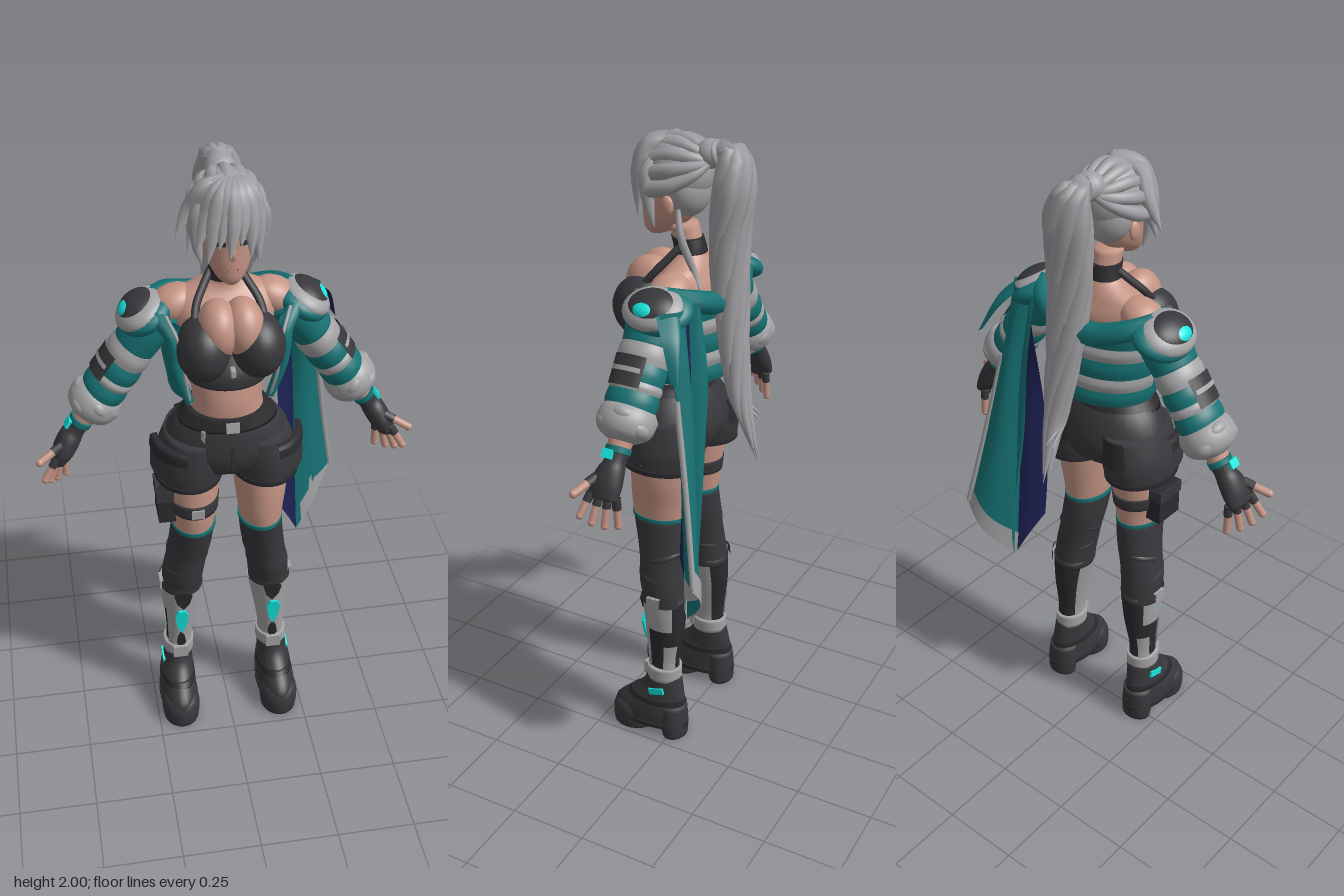
import * as THREE from 'three';

const mat = (name, color, double) => {
  const m = new THREE.MeshStandardMaterial({ color });
  m.name = name;
  if (double) m.side = THREE.DoubleSide;
  return m;
};
const skin = mat('skin', 0xc49484), hair = mat('hair', 0xa09ea2), dark = mat('charcoal', 0x38383c, true);
const black = mat('black', 0x2b2b2f, true), teal = mat('teal', 0x167274, true), navy = mat('navy', 0x1e2254, true);
const cyan = mat('cyan', 0x14e6de, true), grey = mat('grey', 0xa3a2a4, true), lips = mat('lips', 0x9c6058);

function add(parent, name, geo, material, pos, scale, rot) {
  const m = new THREE.Mesh(geo, material);
  m.name = name;
  if (pos) m.position.set(...pos);
  if (scale) m.scale.set(...scale);
  if (rot) m.rotation.set(...rot);
  parent.add(m);
  return m;
}
const ball = (p, name, material, pos, scale, rot) => add(p, name, new THREE.SphereGeometry(1, 28, 20), material, pos, scale, rot);
const box = (p, name, material, pos, size, rot) => add(p, name, new THREE.BoxGeometry(...size), material, pos, null, rot);

// Surface through rows of points
function patch(rows, closed) {
  const n = rows[0].length, index = [];
  for (let i = 0; i < rows.length - 1; i++) for (let j = 0; j < (closed ? n : n - 1); j++) {
    const k = (j + 1) % n, a = i * n + j, b = i * n + k, c = a + n, d = b + n;
    index.push(a, b, d, a, d, c);
  }
  const g = new THREE.BufferGeometry();
  g.setAttribute('position', new THREE.Float32BufferAttribute(rows.flat(2), 3));
  g.setIndex(index);
  g.computeVertexNormals();
  return g;
}

// Smooth loft through rings [x, y, z, rx, rz]; an arc leaves it open, angle 0 faces +z
function loft(rings, arc, N = 32) {
  const r = rings[0][1] > rings[rings.length - 1][1] ? [...rings].reverse() : rings;
  const fine = [];
  for (let i = 0; i < r.length - 1; i++) for (let s = 0; s < 4; s++) {
    const t = s / 4, p = [r[Math.max(i - 1, 0)], r[i], r[i + 1], r[Math.min(i + 2, r.length - 1)]];
    fine.push(r[i].map((_, k) => {
      const [a, b, c, d] = p.map(q => q[k]);
      return b + 0.5 * t * (c - a + t * (2 * a - 5 * b + 4 * c - d + t * (3 * (b - c) + d - a)));
    }));
  }
  fine.push(r[r.length - 1]);
  if (!arc) {
    const tip = q => [q[0], q[1], q[2], q[3] * 0.01, q[4] * 0.01];
    fine.unshift(tip(fine[0]));
    fine.push(tip(fine[fine.length - 1]));
  }
  const [a0, a1] = arc || [0, Math.PI * 2];
  return patch(fine.map(([x, y, z, rx, rz]) => Array.from({ length: arc ? N + 1 : N }, (_, j) => {
    const a = a0 + (a1 - a0) * j / N;
    return [x + rx * Math.sin(a), y, z + rz * Math.cos(a)];
  })), !arc);
}
const part = (p, name, material, rings, arc) => add(p, name, loft(rings, arc), material);

const curve = pts => new THREE.CatmullRomCurve3(pts.map(q => new THREE.Vector3(...q)));
// Lock of hair or strap: a tube whose radius follows a profile
function lock(p, name, material, pts, r, f = u => Math.pow(Math.sin(Math.PI * (0.2 + 0.8 * u)), 0.9)) {
  const c = curve(pts), seg = 28, rad = 8, g = new THREE.TubeGeometry(c, seg, r, rad), pos = g.attributes.position;
  const v = new THREE.Vector3();
  for (let i = 0; i <= seg; i++) for (let j = 0; j <= rad; j++) {
    const k = i * (rad + 1) + j, o = c.getPointAt(i / seg);
    v.fromBufferAttribute(pos, k).sub(o).multiplyScalar(Math.max(f(i / seg) || 0, 0.02)).add(o);
    pos.setXYZ(k, v.x, v.y, v.z);
  }
  return add(p, name, g, material);
}
const cord = (p, name, material, pts, r) => lock(p, name, material, pts, r, () => 1);

// Thin plate with pointed ends
function diamond(w, h) {
  const s = new THREE.Shape([[0, -h], [w * .7, -h * 0.3], [w, h * 0.6], [w * .5, h], [-w * .5, h], [-w, h * 0.6], [-w * .7, -h * 0.3]].map(q => new THREE.Vector2(...q)));
  return new THREE.ExtrudeGeometry(s, { depth: 0.008, bevelEnabled: false });
}

function buildLeg(g) {
  part(g, 'thigh', skin, [[.1, 1.06, .06, .085, .1], [.108, .95, .068, .083, .1], [.108, .86, .074, .073, .094], [.11, .8, .074, .066, .088]]);
  part(g, 'stocking', dark, [[.108, .81, .075, .069, .09], [.118, .72, .062, .069, .083], [.13, .65, .055, .067, .077], [.142, .58, .05, .068, .076], [.146, .5, .037, .064, .07]]);
  part(g, 'stockingTrim', teal, [[.108, .802, .075, .071, .092], [.108, .816, .075, .071, .092]]);
  for (const [y, x, tilt] of [[.67, .126, .35], [.6, .139, -.2]])
    add(g, 'stockingFold', new THREE.TorusGeometry(1, .1, 8, 32), dark, [x, y, .052], [.063, .071, .1], [Math.PI / 2 + tilt, 0, 0]);
  part(g, 'calf', black, [[.147, .53, .036, .066, .07], [.153, .42, .032, .054, .064], [.16, .3, .034, .041, .05], [.162, .2, .036, .045, .055]]);
  // Shin armour with dark inlays and a light
  part(g, 'shinGuard', grey, [[.147, .51, .036, .071, .076], [.153, .42, .034, .058, .07], [.16, .3, .036, .045, .056], [.161, .25, .036, .047, .057]], [-2.1, 1.05]);
  part(g, 'outerGuard', grey, [[.147, .54, .036, .071, .076], [.15, .47, .034, .065, .073], [.153, .42, .034, .058, .07]], [1.0, 2.3]);
  part(g, 'rearGuard', grey, [[.157, .36, .034, .052, .063], [.16, .3, .036, .045, .056], [.161, .25, .036, .047, .057]], [1.9, 2.7]);
  part(g, 'kneeStrap', dark, [[.147, .548, .038, .073, .078], [.148, .515, .036, .073, .078]], [-1.2, 2.6]);
  box(g, 'kneeBuckle', grey, [.216, .53, .045], [.012, .035, .045]);
  add(g, 'frontInlay', diamond(.03, .04), black, [.15, .485, .105], null, [.1, 0, 0]);
  add(g, 'lowerInlay', diamond(.016, .035), black, [.158, .3, .088], null, [.12, 0, Math.PI]);
  part(g, 'ankleBand', grey, [[.161, .265, .036, .051, .059], [.162, .215, .036, .051, .06]]);
  box(g, 'ankleBuckle', grey, [.161, .24, .094], [.05, .045, .012]);
  add(g, 'shinLight', diamond(.023, .055), cyan, [.156, .385, .1], null, [.11, 0, 0]);
  // Boot: rounded upper on a split sole
  part(g, 'bootUpper', dark, [[.172, .035, .085, .062, .132], [.172, .085, .085, .062, .13], [.17, .13, .064, .056, .105], [.166, .18, .04, .05, .073], [.163, .225, .036, .048, .06]]);
  part(g, 'bootToe', dark, [[.172, 0, .15, .06, .072], [.172, .05, .148, .065, .076], [.172, .085, .14, .058, .07], [.172, .105, .128, .035, .045]]);
  part(g, 'bootHeel', dark, [[.172, 0, -.008, .052, .04], [.172, .05, -.003, .055, .047], [.17, .12, .0, .05, .045]]);
  part(g, 'soleRim', black, [[.172, .038, .085, .066, .137], [.172, .054, .085, .066, .137]]);
  box(g, 'bootLight', cyan, [.214, .178, .04], [.012, .022, .055], [.3, 0, 0]);
  part(g, 'bootStrap', black, [[.17, .125, .066, .058, .108], [.169, .145, .057, .056, .097]]);
}

function buildArm(side) {
  ball(side, 'shoulder', skin, [.15, 1.572, .012], [.075, .052, .062], [0, 0, -.4]);
  const g = new THREE.Group();
  g.name = 'arm';
  g.position.set(.19, 1.56, .02);
  g.rotation.z = .595;
  side.add(g);
  part(g, 'forearm', skin, [[0, 0, 0, .05, .05], [0, -.2, 0, .045, .045], [0, -.36, 0, .04, .042], [0, -.47, 0, .028, .03]]);
  // Puffy sleeve in coloured bands
  const bands = [[-.01, .14, teal], [.13, .195, grey], [.185, .25, teal], [.24, .275, grey], [.265, .33, teal]];
  for (const [a, b, m] of bands)
    part(g, 'sleeveBand', m, [[0, -a, 0, .064, .075], [0, -(a + b) / 2, 0, .069, .081], [0, -b, 0, .064, .075]]);
  part(g, 'sleevePatch', dark, [[0, -.175, 0, .073, .085], [0, -.265, 0, .074, .085]], [.7, 2.1]);
  part(g, 'sleevePatchTrim', grey, [[0, -.21, 0, .077, .088], [0, -.224, 0, .077, .088]], [.8, 2.0]);
  part(g, 'fluffyCuff', grey, [[0, -.305, 0, .06, .066], [0, -.33, 0, .077, .084], [0, -.365, 0, .082, .088], [0, -.395, 0, .07, .075], [0, -.415, 0, .04, .042]]);
  for (let i = 0; i < 7; i++) {
    const a = i * .9;
    ball(g, 'cuffFold', grey, [.042 * Math.sin(a), -.345 - (i % 2) * .03, .046 * Math.cos(a)], [.043, .03, .045], [0, 0, .3]);
  }
  // Fingerless glove
  part(g, 'glove', dark, [[0, -.435, 0, .034, .036], [0, -.475, 0, .031, .033], [0, -.505, .005, .035, .042], [-.003, -.55, .01, .034, .05], [-.006, -.59, .01, .024, .046]]);
  part(g, 'wristBand', teal, [[0, -.432, 0, .037, .039], [0, -.452, 0, .036, .038]]);
  box(g, 'wristLight', cyan, [.035, -.46, .012], [.01, .028, .034]);
  const finger = (name, a, b, r) => {
    const mid = a.map((v, i) => v + (b[i] - v) * .4);
    cord(g, name + 'Sleeve', dark, [a, mid], r * 1.18);
    cord(g, name, skin, [a, b], r);
    ball(g, name + 'Tip', skin, b, [r, r, r]);
  };
  for (let i = 0; i < 4; i++) {
    const t = i - 1.5;
    finger('finger', [-.006 + t * .011, -.575, .01 + t * .022], [-.032 + t * .026, -.665 + Math.abs(t) * .01, .016 + t * .029], .0115);
  }
  finger('thumb', [.018, -.53, .035], [.058, -.595, .07], .0125);
  // Shoulder flap
  const f = new THREE.Group();
  f.name = 'shoulderFlap';
  f.position.set(.24, 1.56, .005);
  f.rotation.z = -.5;
  side.add(f);
  ball(f, 'flapCloth', teal, [-.005, -.018, 0], [.09, .045, .108]);
  ball(f, 'flapTrim', grey, [.004, -.002, .005], [.08, .042, .096]);
  ball(f, 'flapPad', dark, [.006, .005, .005], [.066, .043, .08]);
  ball(f, 'flapLight', cyan, [.03, .018, .01], [.034, .028, .046]);
}

function buildSide(sign) {
  const g = new THREE.Group();
  g.name = sign > 0 ? 'leftSide' : 'rightSide';
  g.scale.x = sign;
  buildLeg(g);
  buildArm(g);
  // Shorts leg with curved cargo pocket
  part(g, 'shortsLeg', dark, [[.1, 1.16, .058, .088, .125], [.113, 1.07, .057, .107, .137], [.12, 1.0, .06, .104, .13]]);
  part(g, 'shortsHem', black, [[.12, 1.014, .06, .107, .133], [.12, .998, .06, .107, .133]]);
  part(g, 'cargoPocket', dark, [[.113, 1.14, .057, .1, .13], [.115, 1.13, .057, .117, .147], [.12, 1.04, .06, .118, .147], [.12, 1.03, .06, .103, .13]], [.25, 1.5]);
  part(g, 'pocketFlap', black, [[.112, 1.15, .057, .1, .128], [.114, 1.145, .057, .119, .15], [.116, 1.11, .057, .122, .152]], [.2, 1.55]);
  part(g, 'backPocket', black, [[.1, 1.16, .057, .1, .133], [.113, 1.07, .057, .112, .142]], [2.7, 3.5]);
  // Halter top
  ball(g, 'topCup', dark, [.08, 1.485, .138], [.079, .098, .098]);
  ball(g, 'bust', skin, [.036, 1.545, .135], [.062, .088, .082]);
  cord(g, 'halterStrap', dark, [[.105, 1.53, .15], [.092, 1.6, .095], [.065, 1.645, .058], [.04, 1.68, .03]], .012);
  // Open jacket front and lapel
  part(g, 'jacketFront', teal, [[0, 1.3, .04, .165, .125], [0, 1.42, .035, .187, .145], [0, 1.56, .03, .2, .135]], [.8, 1.6]);
  lock(g, 'lapel', teal, [[.12, 1.3, .13], [.155, 1.42, .135], [.165, 1.52, .12], [.215, 1.58, .04], [.17, 1.57, -.06], [.08, 1.54, -.1], [-.02, 1.53, -.11]], .034, u => .4 + .75 * u);
  cord(g, 'lapelTrim', grey, [[.118, 1.295, .135], [.135, 1.4, .16], [.145, 1.5, .155], [.18, 1.58, .1]], .005);
  // Face
  box(g, 'eye', black, [.034, 1.828, .168], [.03, .01, .008], [0, .3, .1]);
  box(g, 'brow', hair, [.034, 1.848, .168], [.034, .006, .008], [0, .3, .15]);
  ball(g, 'ear', skin, [.08, 1.805, .055], [.012, .03, .02]);
  lock(g, 'sideLock', hair, [[.05, 1.95, .1], [.088, 1.9, .115], [.092, 1.82, .11], [.075, 1.73, .1]], .022);
  return g;
}

function buildHead(g) {
  part(g, 'head', skin, [[0, 1.695, .135, .018, .022], [0, 1.715, .12, .042, .05], [0, 1.755, .095, .063, .078], [0, 1.81, .078, .075, .094], [0, 1.87, .07, .08, .1], [0, 1.95, .065, .055, .07]]);
  lock(g, 'nose', skin, [[0, 1.83, .166], [0, 1.8, .176], [0, 1.782, .172]], .012, u => .35 + .65 * u);
  box(g, 'mouth', lips, [0, 1.747, .167], [.032, .007, .008]);
  ball(g, 'hairCap', hair, [0, 1.895, .058], [.095, .1, .108], [-.35, 0, 0]);
  ball(g, 'hairBack', hair, [0, 1.845, .025], [.083, .085, .065]);
  // Locks combed back to the tie
  for (let i = -4; i <= 4; i++) {
    const a = i * .36, s = Math.sin(a), c = Math.cos(a);
    lock(g, 'combedLock', hair, [[s * .09, 1.83 + c * .135, .11], [s * .1, 1.85 + c * .132, .04], [s * .07, 1.89 + c * .07, -.02], [s * .025, 1.93, -.05]], .026, u => 1 - .5 * u);
  }
  // Swept fringe
  const fringe = [[-.148, 1.81, .09], [-.118, 1.77, .11], [-.095, 1.8, .15], [-.07, 1.775, .178], [-.04, 1.82, .188], [-.012, 1.79, .197], [.02, 1.825, .19], [.05, 1.785, .178], [.075, 1.76, .155]];
  for (const [x, y, z] of fringe)
    lock(g, 'fringeLock', hair, [[.015, 1.972, .075], [x * .5 + .012, 1.962, .06 + z * .42], [x * .78 + .01, 1.9, z * .9], [x, y, z]], .027);
  // Ponytail of twisted locks
  ball(g, 'ponytailRoot', hair, [0, 1.95, -.045], [.045, .042, .045]);
  add(g, 'hairTie', new THREE.TorusGeometry(.032, .01, 10, 24), hair, [0, 1.952, -.07], null, [.3, 0, 0]);
  const tail = [[0, 1.95, -.06], [0, 1.965, -.11], [.01, 1.88, -.125], [.015, 1.72, -.115], [.02, 1.55, -.122], [.03, 1.38, -.14], [.035, 1.22, -.168], [.025, 1.03, -.22]];
  lock(g, 'ponytail', hair, tail, .05, u => Math.min(.6 + u * 3, 1.15) * (1 - u * u * u));
  for (let k = 0; k < 7; k++) {
    const pts = tail.map(([x, y, z], i) => {
      const a = k * Math.PI * 2 / 7 + i * .75, r = .044 * Math.min(1, i * .45) * (1 - i / 9.5);
      return [x + 1.5 * r * Math.cos(a), y + (i === 7 ? k * .025 : 0), z + r * Math.sin(a)];
    });
    lock(g, 'ponytailLock', hair, pts, .031, u => Math.min(.5 + u * 4, 1) * (1 - Math.pow(u, 4)));
  }
  lock(g, 'looseStrand', hair, [[.08, 1.8, .02], [.095, 1.72, 0], [.075, 1.62, -.03], [.09, 1.52, -.08]], .012);
}

function buildCape(g) {
  // Each panel runs between two edge curves
  const panel = (name, m, A, B, bulge) => {
    const a = curve(A), b = curve(B);
    add(g, name, patch(Array.from({ length: 21 }, (_, i) => Array.from({ length: 9 }, (_, j) => {
      const p = a.getPoint(i / 20).lerp(b.getPoint(i / 20), j / 8), w = bulge * Math.sin(Math.PI * j / 8);
      return [p.x, p.y, p.z - w];
    })), false), m);
  };
  const inner = [[.18, 1.45, -.1], [.185, 1.15, -.05], [.185, .9, -.045], [.2, .72, -.045]];
  const fold = [[.2, 1.57, -.06], [.235, 1.25, -.09], [.255, .9, -.1], [.275, .56, -.11]];
  const outer = [[.3, 1.57, -.04], [.31, 1.32, -.1], [.35, 1.05, -.15], [.4, .77, -.2]];
  panel('capeLining', navy, inner, fold, .01);
  panel('capePanel', teal, fold, outer, -.015);
  panel('capeBackPanel', teal, fold, outer, .035);
  panel('capeBack', teal, [[.17, 1.56, -.1], [.178, 1.35, -.13], [.2, 1.1, -.13], [.26, .75, -.13]], fold.map(([x, y, z]) => [x - .002, y, z - .018]), .012);
  // Pale hem along the bottom and corners
  for (const b of [-.019, .039]) {
    panel('capeHem', grey, [[.268, .64, -.108], [.275, .555, -.112]], [[.388, .83, -.193], [.402, .765, -.202]], b);
    panel('capeCorner', grey, [[.3, .74, -.125], [.31, .65, -.13]], [[.345, .8, -.16], [.35, .72, -.165]], b * .8);
  }
  cord(g, 'capeEdge', grey, outer.slice(1), .009);
  // Short pointed wing behind the shoulder
  const tip = [[.24, 1.57, -.07], [.3, 1.5, -.11], [.37, 1.4, -.12]], rim = [[.29, 1.57, -.02], [.34, 1.51, -.07], [.372, 1.4, -.115]];
  panel('capeWing', teal, tip, rim, .02);
  panel('capeWingLining', navy, tip, rim, .006);
}

export function createModel() {
  const root = new THREE.Group();
  root.name = 'character';
  part(root, 'torso', skin, [[0, 1.18, .065, .13, .1], [0, 1.28, .078, .105, .095], [0, 1.36, .062, .115, .1], [0, 1.46, .045, .13, .1], [0, 1.55, .03, .15, .1], [0, 1.605, .018, .145, .068], [0, 1.635, .015, .085, .052], [0, 1.665, .022, .046, .045], [0, 1.74, .045, .042, .045]]);
  part(root, 'choker', black, [[0, 1.655, .02, .052, .049], [0, 1.675, .024, .048, .049], [0, 1.7, .032, .046, .049]]);
  part(root, 'topBand', dark, [[0, 1.355, .068, .121, .108], [0, 1.4, .064, .13, .112], [0, 1.46, .045, .138, .1]]);
  box(root, 'topClasp', grey, [0, 1.425, .185], [.014, .02, .03]);
  // Jacket back in stripes, open at the front
  const stripes = [[1.29, 1.34, teal], [1.34, 1.385, grey], [1.385, 1.445, teal], [1.445, 1.49, grey], [1.49, 1.56, teal]];
  for (const [a, b, m] of stripes) {
    const w = y => .165 + (y - 1.29) * .13;
    part(root, 'jacketStripe', m, [[0, a, .03, w(a), .14], [0, (a + b) / 2, .03, w(a) + .006, .146], [0, b, .03, w(b), .14]], [1.45, Math.PI * 2 - 1.45]);
  }
  // Shorts and belt
  part(root, 'shorts', dark, [[0, 1.25, .07, .12, .104], [0, 1.19, .062, .17, .128], [0, 1.11, .055, .198, .139], [0, 1.05, .055, .16, .12]]);
  part(root, 'belt', black, [[0, 1.255, .072, .122, .109], [0, 1.21, .068, .155, .122]]);
  box(root, 'beltBuckle', grey, [0, 1.23, .187], [.04, .032, .01], [-.2, 0, 0]);
  box(root, 'fly', black, [0, 1.14, .19], [.01, .12, .012], [-.15, 0, 0]);
  box(root, 'beltClip', grey, [-.085, 1.19, .168], [.012, .05, .012], [0, -.6, 0]);
  root.add(buildSide(1), buildSide(-1));
  // Thigh holster on the right leg
  part(root, 'holsterStrap', dark, [[-.108, .925, .07, .083, .103], [-.108, .88, .073, .08, .101]]);
  box(root, 'holsterPouch', black, [-.195, .905, .075], [.055, .12, .1]);
  box(root, 'holsterFlap', dark, [-.197, .945, .075], [.06, .04, .106]);
  box(root, 'holsterBuckle', grey, [-.105, .902, .173], [.04, .03, .01]);
  buildHead(root);
  buildCape(root);
  return root;
}
